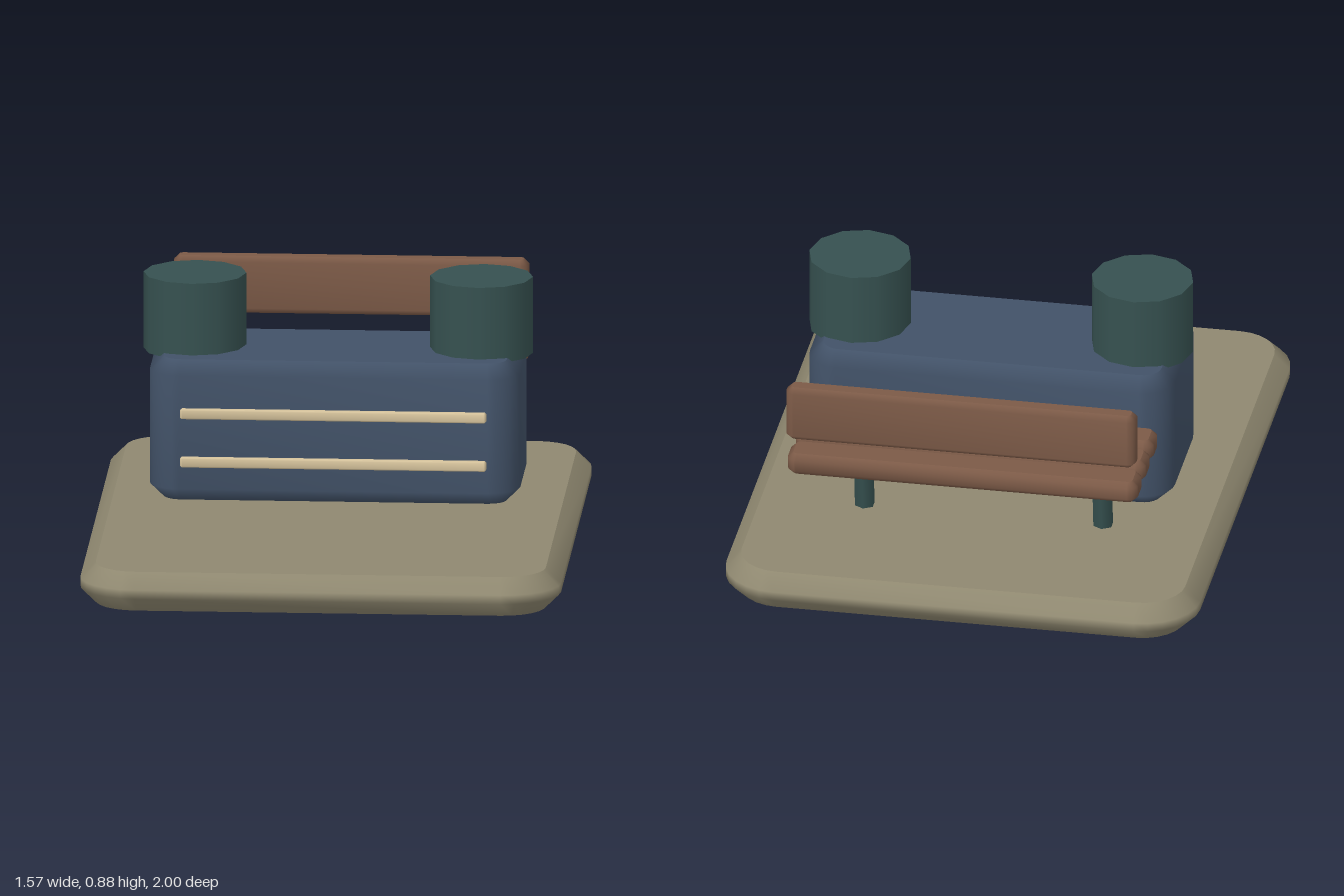
import * as THREE from 'three';
import { mergeVertices, mergeGeometries } from 'three/addons/utils/BufferGeometryUtils.js';

const material = (name, color) => {
  const m = new THREE.MeshStandardMaterial({ color });
  m.name = name;
  return m;
};

// Rounded slab standing on y = 0: flat top and bottom, one bevel, softly shaded rim
function slabGeometry(w, h, d, radius, bevel) {
  const x = w / 2 - bevel - radius;
  const z = d / 2 - bevel - radius;
  const q = Math.PI / 2;
  const shape = new THREE.Shape();
  shape.absarc(x, z, radius, 0, q);
  shape.absarc(-x, z, radius, q, 2 * q);
  shape.absarc(-x, -z, radius, 2 * q, 3 * q);
  shape.absarc(x, -z, radius, 3 * q, 4 * q);
  const solid = new THREE.ExtrudeGeometry(shape, {
    depth: h - 2 * bevel, bevelThickness: bevel, bevelSize: bevel, bevelSegments: 1, curveSegments: 3,
  });
  solid.rotateX(-q);
  solid.translate(0, bevel, 0);

  const position = solid.getAttribute('position').array;
  const [caps, rim] = solid.groups.map(({ start, count }) => {
    const part = new THREE.BufferGeometry();
    part.setAttribute('position', new THREE.BufferAttribute(position.slice(start * 3, (start + count) * 3), 3));
    return part;
  });
  caps.computeVertexNormals();
  const smooth = mergeVertices(rim, 1e-5);
  smooth.computeVertexNormals();
  return mergeGeometries([caps, smooth.toNonIndexed()]);
}

export function createModel() {
  const model = new THREE.Group();
  model.name = 'parkBenchWithPlanter';

  const stone = material('stone', 0x8f8870);
  const blue = material('slateBlue', 0x425268);
  const teal = material('darkTeal', 0x365150);
  const wood = material('wood', 0x7c5a47);
  const cream = material('cream', 0xd6c39c);

  const add = (name, geometry, mat, x, y, z) => {
    const mesh = new THREE.Mesh(geometry, mat);
    mesh.name = name;
    mesh.position.set(x, y, z);
    model.add(mesh);
    return mesh;
  };

  // Six-sided rod between two points [y, z] at a fixed x
  const rod = (name, x, [y0, z0], [y1, z1], radius) => {
    const length = Math.hypot(y1 - y0, z1 - z0);
    const mesh = add(name, new THREE.CylinderGeometry(radius, radius, length, 6), teal, x, (y0 + y1) / 2, (z0 + z1) / 2);
    mesh.rotation.x = Math.atan2(z1 - z0, y1 - y0);
  };

  // Ground slab and main box
  add('base', slabGeometry(1.57, 0.13, 2, 0.14, 0.05), stone, 0, 0, 0);
  add('body', slabGeometry(1.21, 0.47, 0.53, 0.06, 0.045), blue, 0, 0.17, -0.12);

  // Trim strips on the front of the box
  for (const y of [0.292, 0.454]) {
    add('trimStrip', slabGeometry(1, 0.033, 0.026, 0.003, 0.005), cream, 0, y, 0.154);
  }

  // Bench seat slats and backrest
  for (const z of [-0.5, -0.645, -0.79]) {
    add('seatSlat', slabGeometry(1.16, 0.075, 0.12, 0.015, 0.018), wood, 0, 0.435, z);
  }
  add('backrest', slabGeometry(1.16, 0.19, 0.075, 0.012, 0.018), wood, 0, 0.578, -0.839);

  // Mirrored drums, legs and backrest arms
  for (const side of [-1, 1]) {
    add('drum', new THREE.CylinderGeometry(0.168, 0.168, 0.255, 12), teal, side * 0.468, 0.7525, -0.122);
    rod('leg', side * 0.395, [0.1, -0.434], [0.47, -0.478], 0.034);
    rod('backrestArm', side * 0.395, [0.475, -0.497], [0.667, -0.83], 0.034);
  }
  return model;
}
